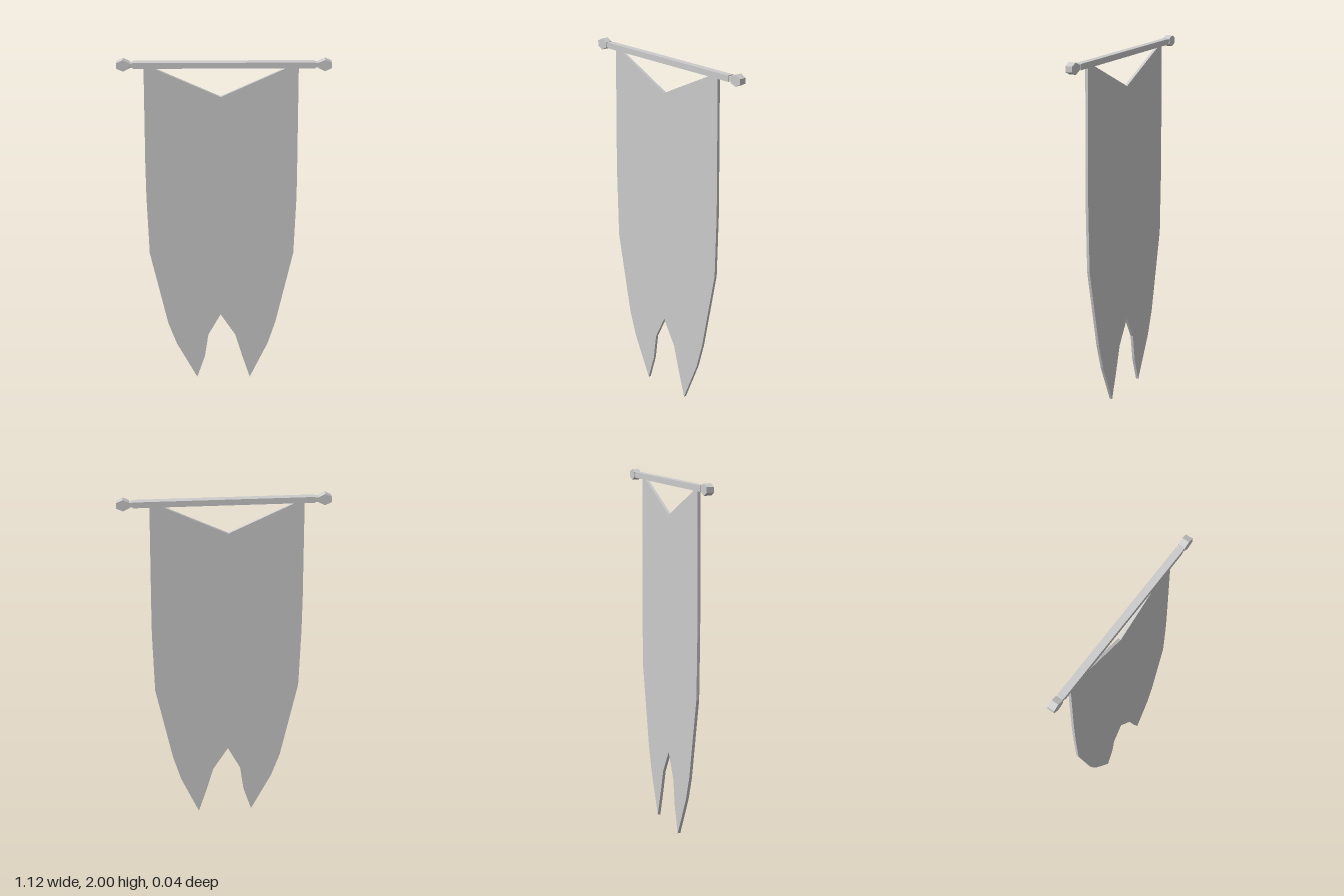
import * as THREE from 'three';

const material = new THREE.MeshStandardMaterial({ color: 0xcccccc, flatShading: true });

// Flat outline extruded along z and centred on z = 0
function slab(name, points, depth) {
  const shape = new THREE.Shape(points.map(([x, y]) => new THREE.Vector2(x, y)));
  const geometry = new THREE.ExtrudeGeometry(shape, { depth, bevelEnabled: false });
  geometry.translate(0, 0, -depth / 2);
  const mesh = new THREE.Mesh(geometry, material);
  mesh.name = name;
  return mesh;
}

function bar(name, width, height, depth, x, y) {
  const mesh = new THREE.Mesh(new THREE.BoxGeometry(width, height, depth), material);
  mesh.name = name;
  mesh.position.set(x, y, 0);
  return mesh;
}

export function createModel() {
  const group = new THREE.Group();
  group.name = 'hangingBanner';
  const poleY = 1.969;

  // Cloth with a notched top edge and two pointed tails
  group.add(slab('cloth', [
    [-0.42, 1.96], [-0.428, 1.4], [-0.428, 1.2], [-0.42, 0.85],
    [-0.325, 0.38], [-0.278, 0.24], [-0.16, 0], [-0.113, 0.15], [-0.092, 0.3],
    [-0.02, 0.44],
    [0.066, 0.3], [0.108, 0.15], [0.154, 0], [0.257, 0.24], [0.3, 0.39],
    [0.392, 0.85], [0.4, 1.2], [0.398, 1.4], [0.39, 1.96],
    [0.345, 1.96], [-0.02, 1.79], [-0.39, 1.96],
  ], 0.016));

  // Square crossbar
  group.add(bar('pole', 0.95, 0.032, 0.038, 0, poleY));

  // Neck and six-sided finial at each end
  for (const [side, s] of [['left', 1], ['right', -1]]) {
    group.add(bar(side + 'Neck', 0.03, 0.025, 0.033, s * 0.485, poleY));
    const finial = slab(side + 'Finial', [
      [-0.034, -0.015], [0, -0.031], [0.034, -0.015],
      [0.034, 0.015], [0, 0.031], [-0.034, 0.015],
    ], 0.04);
    finial.position.set(s * 0.527, poleY, 0);
    group.add(finial);
  }
  return group;
}
